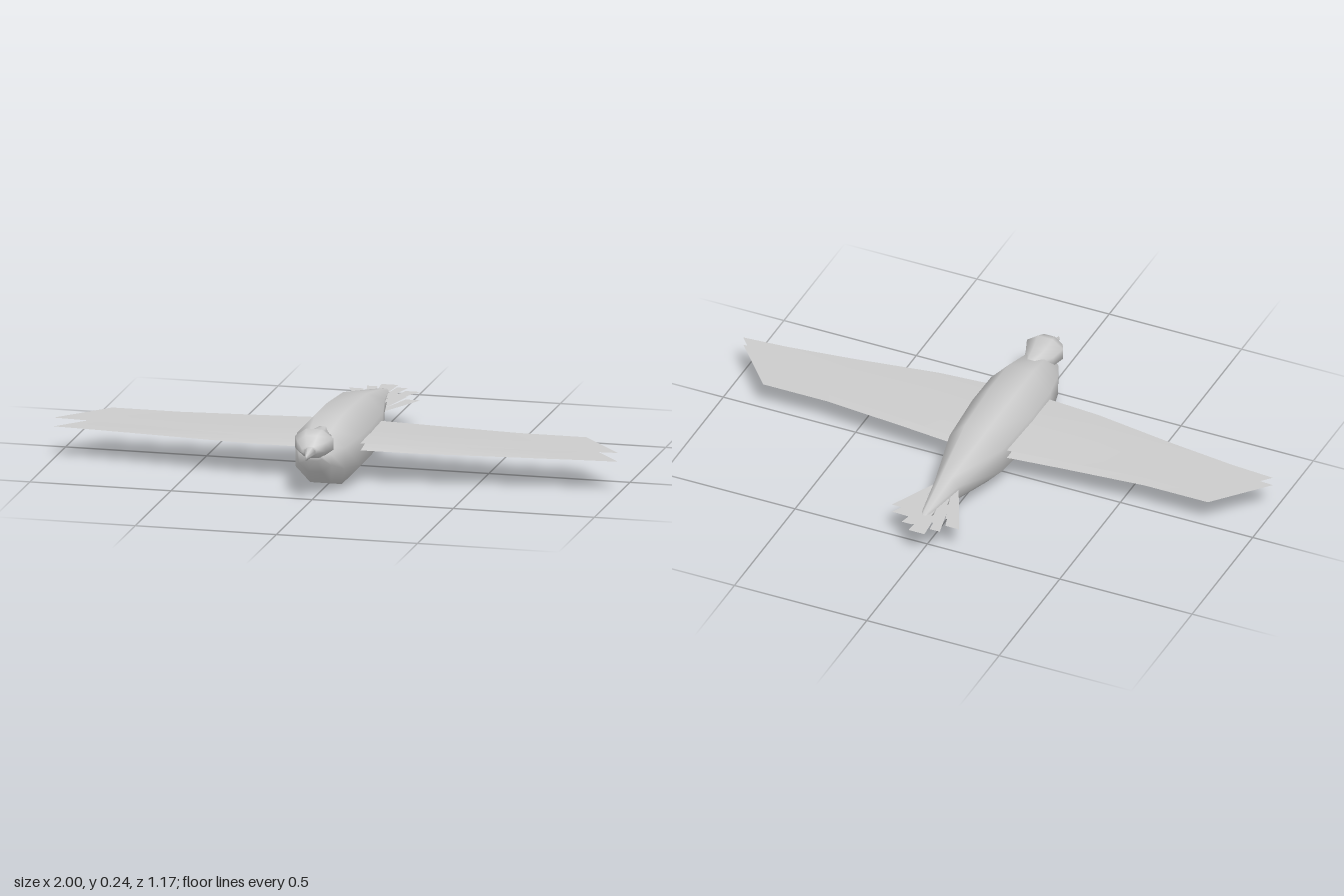
import * as THREE from 'three';

const solid = new THREE.MeshStandardMaterial({ color: 0xcccccc });
const sheet = new THREE.MeshStandardMaterial({ color: 0xcccccc, side: THREE.DoubleSide });

function mesh(name, points, index, material) {
  const g = new THREE.BufferGeometry();
  g.setAttribute('position', new THREE.Float32BufferAttribute(points, 3));
  g.setIndex(index);
  g.computeVertexNormals();
  const m = new THREE.Mesh(g, material);
  m.name = name;
  return m;
}

// Octagonal loft along z; sections run front to back as [z, top, bottom, halfWidth]
function loft(name, sections) {
  const n = 8, k = 1 / Math.cos(Math.PI / n), pts = [], idx = [];
  for (const [z, top, bottom, w] of sections) {
    for (let j = 0; j < n; j++) {
      const a = (j + 0.5) * 2 * Math.PI / n;
      pts.push(w * k * Math.cos(a), (top + bottom) / 2 + (top - bottom) / 2 * k * Math.sin(a), z);
    }
  }
  for (let i = 0; i < sections.length - 1; i++) {
    for (let j = 0; j < n; j++) {
      const a = i * n + j, b = i * n + (j + 1) % n, c = a + n, d = b + n;
      idx.push(a, c, b, b, c, d);
    }
  }
  const last = (sections.length - 1) * n;
  for (let j = 1; j < n - 1; j++) {
    idx.push(0, j, j + 1, last, last + j + 1, last + j);
  }
  return mesh(name, pts, idx, solid);
}

// Thin cambered wing sheet; stations are [x, leadingZ, trailingZ, camberScale]
function wingSheet(name, side, y, camber) {
  const stations = [
    [0.06, 0.268, -0.072, 1], [0.3, 0.252, -0.047, 0.65], [0.6, 0.207, -0.02, 0.2],
    [0.84, 0.177, -0.02, 0], [1, 0.165, 0.165, 0],
  ];
  const chord = [[0, 0.4], [0.28, 1], [0.55, 0.85], [1, 0]];
  const pts = [], idx = [], n = chord.length;
  for (const [x, z0, z1, s] of stations) {
    for (const [t, h] of chord) pts.push(side * x, y + camber * s * h, z0 + (z1 - z0) * t);
  }
  for (let i = 0; i < stations.length - 1; i++) {
    for (let j = 0; j < n - 1; j++) {
      const a = i * n + j, b = a + 1, c = a + n, d = c + 1;
      if (side > 0) idx.push(a, c, b, b, c, d);
      else idx.push(a, b, c, b, d, c);
    }
  }
  return mesh(name, pts, idx, sheet);
}

// Flat feather, given as [rootInner, rootOuter, rootZ, tipInner, tipOuter, tipZ]
function feather(name, side, y, [ri, ro, rz, ti, to, tz]) {
  const pts = [ri, y, rz, ro, y, rz, to, y, tz, ti, y, tz].map((v, i) => (i % 3 ? v : v * side));
  return mesh(name, pts, side > 0 ? [0, 1, 2, 0, 2, 3] : [0, 2, 1, 0, 3, 2], sheet);
}

export function createModel() {
  const bird = new THREE.Group();
  bird.name = 'bird';

  bird.add(loft('body', [
    [0.482, 0.16, 0.135, 0.03], [0.455, 0.18, 0.09, 0.058], [0.385, 0.217, 0.034, 0.088],
    [0.27, 0.245, 0.003, 0.112], [0.12, 0.245, 0.002, 0.114], [-0.1, 0.232, 0.018, 0.1],
    [-0.34, 0.183, 0.079, 0.045], [-0.515, 0.145, 0.122, 0.016], [-0.54, 0.135, 0.13, 0.003],
  ]));

  bird.add(loft('head', [
    [0.53, 0.197, 0.165, 0.028], [0.507, 0.231, 0.152, 0.05], [0.47, 0.245, 0.147, 0.068],
    [0.425, 0.229, 0.146, 0.052], [0.355, 0.226, 0.17, 0.028],
  ]));

  bird.add(loft('beak', [
    [0.585, 0.175, 0.16, 0.002], [0.52, 0.198, 0.162, 0.022],
  ]));

  // Wings: an upper and a lower sheet on each side
  for (const side of [1, -1]) {
    const wing = new THREE.Group();
    wing.name = side > 0 ? 'leftWing' : 'rightWing';
    wing.add(wingSheet('upperWingSheet', side, 0.147, 0.008));
    wing.add(wingSheet('lowerWingSheet', side, 0.116, 0.025));
    bird.add(wing);
  }

  // Tail: two layers of fanned feathers
  const tail = new THREE.Group();
  tail.name = 'tail';
  for (const y of [0.14, 0.11]) {
    tail.add(feather('centreTailFeather', 1, y, [-0.012, 0.012, -0.36, -0.03, 0.03, -0.59]));
    for (const side of [1, -1]) {
      tail.add(feather('middleTailFeather', side, y, [0.005, 0.025, -0.34, 0.034, 0.072, -0.555]));
      tail.add(feather('outerTailFeather', side, y, [0.018, 0.04, -0.33, 0.075, 0.127, -0.515]));
    }
  }
  bird.add(tail);
  return bird;
}
